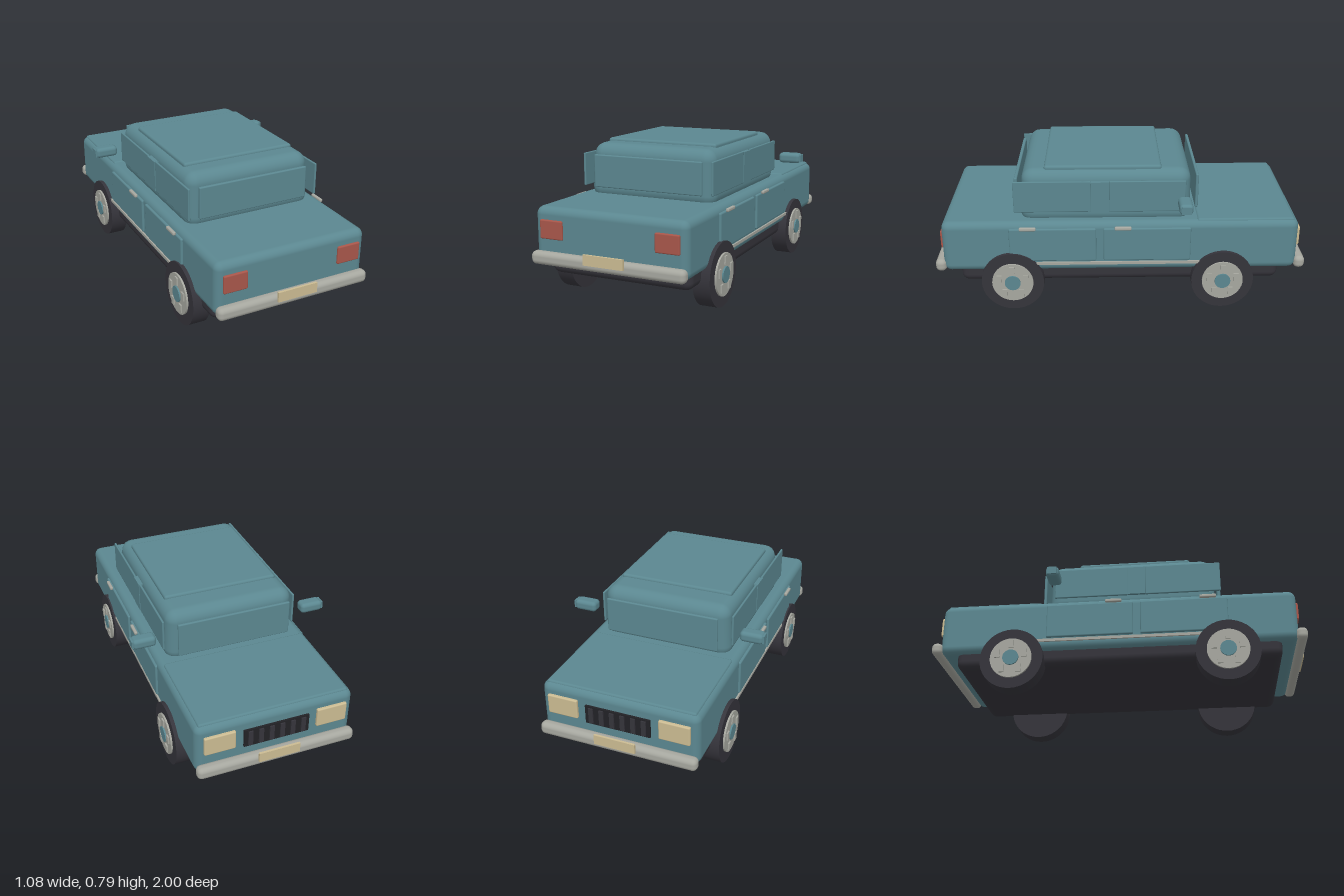
import * as THREE from 'three';
import { RoundedBoxGeometry } from 'three/addons/geometries/RoundedBoxGeometry.js';

const mat = (name, color) => Object.assign(new THREE.MeshStandardMaterial({ color }), { name });

export function createModel() {
  const car = new THREE.Group();
  car.name = 'car';
  const teal = mat('teal paint', 0x5b8790);
  const rubber = mat('dark rubber', 0x35343b);
  const black = mat('grille black', 0x222226);
  const metal = mat('pale metal', 0xa6a79f);
  const beige = mat('beige', 0xcbbb92);
  const red = mat('tail light red', 0xa8564a);

  const add = (name, geo, material, x, y, z, parent = car) => {
    const m = new THREE.Mesh(geo, material);
    m.name = name;
    m.position.set(x, y, z);
    parent.add(m);
    return m;
  };
  // Box given by its limits on each axis, with optional rounded edges
  const span = (name, material, [x0, x1], [y0, y1], [z0, z1], r = 0, seg = 3) => {
    const s = [x1 - x0, y1 - y0, z1 - z0];
    const geo = r ? new RoundedBoxGeometry(...s, seg, r) : new THREE.BoxGeometry(...s);
    return add(name, geo, material, (x0 + x1) / 2, (y0 + y1) / 2, (z0 + z1) / 2);
  };

  // Body and cabin
  span('chassis', rubber, [-0.39, 0.39], [0.145, 0.26], [-0.855, 0.86], 0.04);
  span('body', teal, [-0.417, 0.417], [0.22, 0.506], [-0.942, 0.946], 0.04);
  span('hood', teal, [-0.395, 0.395], [0.48, 0.512], [-0.92, -0.405], 0.012, 2);
  const cabin = span('cabin', teal, [-0.359, 0.359], [0.47, 0.77], [-0.37, 0.532], 0.065);
  // Lean the upper cabin slightly inward
  const p = cabin.geometry.attributes.position;
  for (let i = 0; i < p.count; i++) {
    if (p.getY(i) > 0) {
      p.setX(i, p.getX(i) * 0.98);
      if (p.getZ(i) > 0) p.setZ(i, p.getZ(i) * 0.975);
    }
  }
  cabin.geometry.computeBoundingSphere();
  span('roofPanel', teal, [-0.314, 0.314], [0.75, 0.785], [-0.215, 0.4], 0.014, 2);
  span('frontWindow', teal, [-0.31, 0.31], [0.54, 0.73], [-0.413, -0.397], 0.006, 2);
  span('rearWindow', teal, [-0.308, 0.308], [0.543, 0.715], [0.542, 0.56], 0.006, 2);

  // Parts mirrored on both sides
  for (const s of [-1, 1]) {
    const side = (name, material, x0, x1, y, z, r, seg) =>
      span(name, material, s > 0 ? [x0, x1] : [-x1, -x0], y, z, r, seg);
    side('frontSideWindow', teal, 0.36, 0.372, [0.547, 0.72], [-0.34, 0.06], 0.005, 2);
    side('rearSideWindow', teal, 0.36, 0.372, [0.547, 0.72], [0.155, 0.562], 0.005, 2);
    side('doorPillar', teal, 0.35, 0.374, [0.55, 0.715], [0.06, 0.155]);
    side('frontDoor', teal, 0.405, 0.428, [0.285, 0.475], [-0.37, 0.092], 0.008, 2);
    side('rearDoor', teal, 0.405, 0.428, [0.285, 0.475], [0.13, 0.59], 0.008, 2);
    side('frontDoorHandle', metal, 0.426, 0.444, [0.471, 0.489], [-0.055, 0.033], 0.006, 2);
    side('rearDoorHandle', metal, 0.426, 0.444, [0.471, 0.489], [0.445, 0.533], 0.006, 2);
    side('sideTrim', metal, 0.41, 0.426, [0.262, 0.277], [-0.42, 0.45]);
    side('mirror', teal, 0.41, 0.535, [0.597, 0.654], [-0.365, -0.295], 0.02);
    side('mirrorCap', teal, 0.531, 0.54, [0.605, 0.646], [-0.355, -0.305]);
    side('tailLight', red, 0.252, 0.38, [0.348, 0.444], [0.935, 0.957], 0.007, 2);
    side('headlight', beige, 0.215, 0.377, [0.345, 0.45], [-0.957, -0.93], 0.007, 2);

    // Wheels
    for (const z of [0.58, -0.546]) {
      const wheel = new THREE.Group();
      wheel.name = z > 0 ? 'rearWheel' : 'frontWheel';
      wheel.position.set(s * 0.391, 0.167, z);
      car.add(wheel);
      const disc = (name, r, depth, material, x) => {
        add(name, new THREE.CylinderGeometry(r, r, depth, 40), material, s * x, 0, 0, wheel)
          .rotation.z = Math.PI / 2;
      };
      disc('tire', 0.167, 0.092, rubber, 0);
      disc('wheelDisc', 0.11, 0.02, metal, 0.046);
      disc('hubCap', 0.042, 0.02, teal, 0.054);
      for (let i = 0; i < 5; i++) {
        const a = Math.PI / 2 + i * Math.PI * 2 / 5;
        add('wheelLug', new THREE.BoxGeometry(0.016, 0.043, 0.027), metal,
          s * 0.056, Math.sin(a) * 0.075, Math.cos(a) * 0.075, wheel);
      }
    }
  }

  // Bumpers and number plates
  for (const s of [-1, 1]) {
    const end = (a, b) => (s > 0 ? [a, b] : [-b, -a]);
    span('bumper', metal, [-0.42, 0.42], [0.221, 0.288], end(0.932, 0.99), 0.025, 4);
    span('numberPlate', beige, [-0.109, 0.109], [0.255, 0.308], end(0.988, 1));
  }

  // Grille with slats
  span('grille', black, [-0.172, 0.172], [0.335, 0.435], [-0.953, -0.93]);
  for (let i = 0; i < 6; i++) {
    const x = -0.14 + i * 0.056;
    span('grilleSlat', rubber, [x - 0.012, x + 0.012], [0.343, 0.427], [-0.96, -0.945]);
  }
  return car;
}
